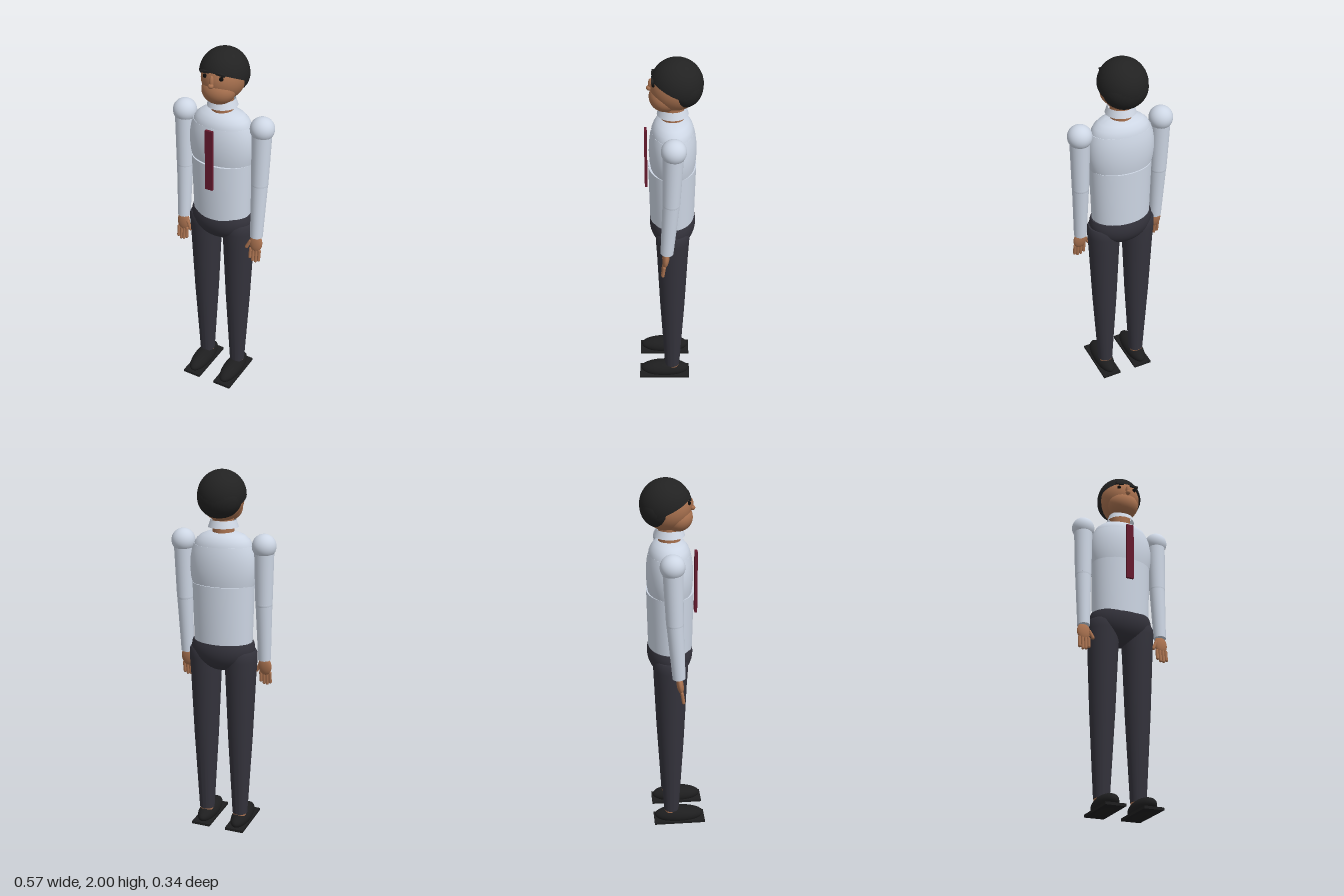
import * as THREE from 'three';
import { toCreasedNormals } from 'three/addons/utils/BufferGeometryUtils.js';

const paint = (name, color) => {
  const m = new THREE.MeshStandardMaterial({ color });
  m.name = name;
  return m;
};

export function createModel() {
  const root = new THREE.Group();
  root.name = 'standingMan';
  const shirt = paint('paleBlueShirt', 0xcdd6e4);
  const collarCloth = paint('collarCloth', 0xd3dbe8);
  collarCloth.side = THREE.DoubleSide;
  const trousers = paint('charcoalTrousers', 0x34333c);
  const skin = paint('skin', 0xa8714f);
  const hair = paint('blackHair', 0x222222);
  hair.side = THREE.DoubleSide;
  const leather = paint('blackLeather', 0x1e1e1f);
  const wine = paint('wineTie', 0x661a2e);
  const ink = paint('eyeBlack', 0x0c0c0c);

  const add = (name, geo, mat, x, y, z, parent = root) => {
    const m = new THREE.Mesh(geo, mat);
    m.name = name;
    m.position.set(x, y, z);
    parent.add(m);
    return m;
  };
  const ball = (name, mat, p, r, parent) => {
    const m = add(name, new THREE.SphereGeometry(1, 32, 20), mat, ...p, parent);
    m.scale.set(...r);
    return m;
  };
  const box = (name, mat, p, s, parent) =>
    add(name, new THREE.BoxGeometry(...s), mat, ...p, parent);
  // Turned body, profile from bottom to top, squashed in depth
  const turned = (name, mat, pts, x, z, depth = 1, parent = root) => {
    const geo = new THREE.LatheGeometry(pts.map(([r, y]) => new THREE.Vector2(r, y)), 40);
    geo.scale(1, 1, depth);
    return add(name, toCreasedNormals(geo, 0.6), mat, x, 0, z, parent);
  };
  // Tapered limb from point a to point b
  const limb = (name, mat, a, b, ra, rb, parent) => {
    const A = new THREE.Vector3(...a), B = new THREE.Vector3(...b);
    const d = B.clone().sub(A);
    const mid = A.clone().add(B).multiplyScalar(0.5);
    const m = add(name, new THREE.CylinderGeometry(rb, ra, d.length(), 24), mat, mid.x, mid.y, mid.z, parent);
    m.quaternion.setFromUnitVectors(new THREE.Vector3(0, 1, 0), d.normalize());
    return m;
  };

  // Torso
  turned('abdomen', shirt, [[0, 1.09], [0.16, 1.09], [0.169, 1.412], [0, 1.412]], 0, -0.018, 0.73);
  turned('chest', shirt, [[0, 1.405], [0.168, 1.405], [0.176, 1.44], [0.181, 1.49], [0.179, 1.54],
    [0.171, 1.585], [0.16, 1.615], [0, 1.615]], 0, -0.02, 0.67);
  turned('shoulderYoke', shirt, [[0.16, 1.6], [0.156, 1.622], [0.143, 1.645], [0.118, 1.667],
    [0.08, 1.682], [0, 1.688]], 0, -0.02, 0.68);
  box('tie', wine, [0, 1.45, 0.117], [0.042, 0.335, 0.014]);

  // Hips: rounded bowl with a flat waist
  const bowl = [];
  for (let i = 0; i <= 14; i++) {
    const a = -Math.PI / 2 + (i / 14) * (Math.PI / 2 + 0.3);
    bowl.push([0.176 * Math.cos(a), 1.062 + 0.13 * Math.sin(a)]);
  }
  bowl.push([0, bowl[14][1]]);
  turned('hips', trousers, bowl, 0, -0.02, 0.69);

  // Neck and collar
  limb('neck', skin, [0, 1.66, -0.02], [0, 1.78, -0.02], 0.057, 0.055);
  add('collar', new THREE.CylinderGeometry(0.067, 0.079, 0.038, 32, 1, true), collarCloth, 0, 1.726, -0.02);

  // Head
  const head = new THREE.Group();
  head.name = 'head';
  root.add(head);
  ball('skull', skin, [0, 1.855, -0.033], [0.111, 0.118, 0.122], head);
  ball('jaw', skin, [0, 1.802, 0.018], [0.088, 0.073, 0.08], head);
  ball('noseBridge', skin, [0, 1.865, 0.087], [0.011, 0.034, 0.014], head);
  ball('noseTip', skin, [0, 1.848, 0.096], [0.014, 0.013, 0.014], head);
  for (const s of [1, -1]) {
    ball('eye', ink, [s * 0.045, 1.885, 0.073], [0.011, 0.011, 0.01], head);
    const brow = box('eyebrow', hair, [s * 0.044, 1.909, 0.078], [0.048, 0.011, 0.012], head);
    brow.rotation.z = -s * 0.08;
  }
  const cap = add('hairCap', new THREE.SphereGeometry(1, 40, 20, 0, Math.PI * 2, 0, 1.71), hair, 0, 1.871, -0.04, head);
  cap.scale.set(0.125, 0.129, 0.13);
  cap.rotation.x = -0.44;
  ball('backHair', hair, [0, 1.86, -0.072], [0.116, 0.105, 0.097], head);

  for (const s of [1, -1]) {
    const side = s > 0 ? 'left' : 'right';

    // Arm
    const arm = new THREE.Group();
    arm.name = side + 'Arm';
    root.add(arm);
    const elbow = [s * 0.223, 1.32, -0.012];
    const wrist = [s * 0.223, 1.005, 0.01];
    ball('shoulder', shirt, [s * 0.224, 1.622, -0.024], [0.063, 0.063, 0.063], arm);
    limb('upperSleeve', shirt, elbow, [s * 0.224, 1.61, -0.022], 0.045, 0.052, arm);
    ball('elbow', shirt, elbow, [0.045, 0.045, 0.045], arm);
    limb('lowerSleeve', shirt, wrist, elbow, 0.034, 0.044, arm);

    // Hand, leaning slightly forward
    const hand = new THREE.Group();
    hand.name = side + 'Hand';
    hand.position.set(s * 0.224, 1.005, 0.01);
    hand.rotation.x = -0.14;
    arm.add(hand);
    ball('palm', skin, [0, -0.04, 0], [0.037, 0.052, 0.018], hand);
    for (let i = 0; i < 4; i++) {
      const len = [0.05, 0.062, 0.064, 0.054][i];
      add('finger', new THREE.CapsuleGeometry(0.0085, len, 6, 12), skin,
        s * (i - 1.5) * 0.0175, -0.08 - len / 2, 0.003, hand);
    }
    const thumb = add('thumb', new THREE.CapsuleGeometry(0.0095, 0.042, 6, 12), skin, -s * 0.04, -0.055, 0.006, hand);
    thumb.rotation.z = -s * 0.45;

    // Leg
    const leg = new THREE.Group();
    leg.name = side + 'Leg';
    root.add(leg);
    turned('trouserLeg', trousers, [[0, 0.088], [0.042, 0.088], [0.068, 0.55], [0.083, 0.9],
      [0.089, 1.0], [0.089, 1.04], [0.082, 1.055], [0, 1.06]], s * 0.1, -0.02, 1, leg);
    limb('ankle', skin, [s * 0.1, 0.05, -0.025], [s * 0.1, 0.1, -0.025], 0.037, 0.037, leg);
    ball('shoe', leather, [s * 0.1, 0.048, 0.024], [0.052, 0.048, 0.139], leg);
    box('sole', leather, [s * 0.1, 0.019, 0.025], [0.106, 0.014, 0.289], leg);
  }
  return root;
}
